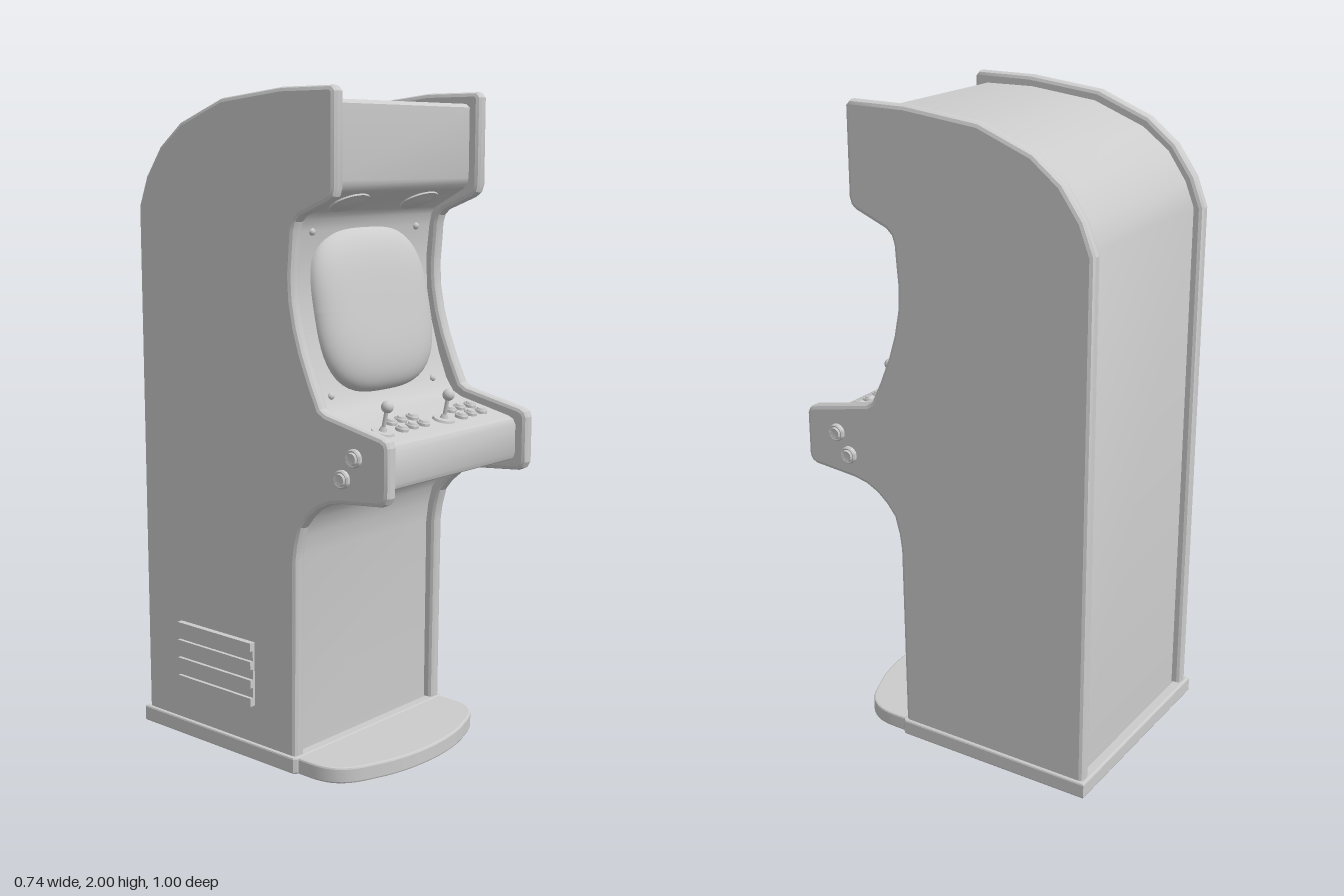
import * as THREE from 'three';
import { toCreasedNormals } from 'three/addons/utils/BufferGeometryUtils.js';

const material = new THREE.MeshStandardMaterial({ color: 0xcccccc });
const thin = new THREE.MeshStandardMaterial({ color: 0xcccccc, side: THREE.DoubleSide });

function add(parent, name, geometry, x = 0, y = 0, z = 0, rx = 0, rz = 0, mat = material) {
  const mesh = new THREE.Mesh(geometry, mat);
  mesh.name = name;
  mesh.position.set(x, y, z);
  mesh.rotation.set(rx, 0, rz);
  parent.add(mesh);
  return mesh;
}

const toShape = (points) => new THREE.Shape(points.map(([a, b]) => new THREE.Vector2(a, b)));

// Extrusion whose bevel stays inside the outline and the given depth
function bevelled(shape, depth, bevel, curveSegments = 12) {
  const geometry = new THREE.ExtrudeGeometry(shape, {
    depth: depth - 2 * bevel, bevelSize: bevel, bevelThickness: bevel,
    bevelOffset: -bevel, bevelSegments: 2, curveSegments,
  });
  geometry.translate(0, 0, bevel);
  return toCreasedNormals(geometry, 0.36);
}

// Side outline as [z, y], from the front foot up and over to the back
const sideOutline = [
  [-0.49, 0], [0.155, 0], [0.16, 0.65], [0.167, 0.7], [0.182, 0.755], [0.21, 0.79], [0.245, 0.82],
  [0.285, 0.84], [0.33, 0.85], [0.475, 0.863], [0.494, 0.872], [0.503, 0.89], [0.503, 1.03], [0.496, 1.047],
  [0.478, 1.057], [0.275, 1.1], [0.255, 1.112], [0.22, 1.185], [0.187, 1.265], [0.165, 1.335],
  [0.15, 1.41], [0.146, 1.48], [0.152, 1.55], [0.156, 1.605], [0.164, 1.63], [0.182, 1.647], [0.285, 1.688],
  [0.303, 1.702], [0.31, 1.725], [0.31, 1.985], [0.297, 2], [0.11, 2], [-0.13, 1.975],
  [-0.3, 1.91], [-0.39, 1.84], [-0.455, 1.75], [-0.49, 1.66],
];

// Skin between the sides as [z, y], from the back foot over the top and down the front
const skinProfile = [
  [-0.46, 0], [-0.46, 1.66], [-0.43, 1.735], [-0.37, 1.82], [-0.285, 1.882], [-0.12, 1.944], [0.1, 1.968],
  [0.262, 1.966], [0.275, 1.955], [0.275, 1.745], [0.27, 1.727], [0.255, 1.712], [0.15, 1.656], [0.134, 1.635],
  [0.126, 1.6], [0.115, 1.5], [0.12, 1.4], [0.14, 1.3], [0.17, 1.2], [0.2, 1.125], [0.228, 1.085],
  [0.26, 1.07], [0.44, 1.03], [0.457, 1.022], [0.466, 1.005], [0.466, 0.915], [0.46, 0.9], [0.445, 0.893],
  [0.33, 0.882], [0.27, 0.868], [0.22, 0.842], [0.18, 0.805], [0.15, 0.765], [0.135, 0.71], [0.127, 0.65],
  [0.125, 0],
];

function skinGeometry() {
  const geometry = new THREE.PlaneGeometry(0.64, 1, 1, skinProfile.length - 1);
  const position = geometry.attributes.position;
  for (let i = 0; i < position.count; i++) {
    const [z, y] = skinProfile[Math.floor(i / 2)];
    position.setY(i, y);
    position.setZ(i, z);
  }
  return toCreasedNormals(geometry, 0.6);
}

// Bulging tube face: a dome over a squarish rounded outline
function screenGeometry() {
  const geometry = new THREE.SphereGeometry(1, 64, 20, 0, Math.PI * 2, 0, Math.PI / 2);
  geometry.rotateX(Math.PI / 2);
  const position = geometry.attributes.position;
  for (let i = 0; i < position.count; i++) {
    const x = position.getX(i), y = position.getY(i);
    const r = Math.min(1, Math.hypot(x, y));
    const c = r ? Math.abs(x) / r : 1, s = r ? Math.abs(y) / r : 0;
    const k = (c ** 3 + s ** 3) ** (-1 / 3);
    position.setXYZ(i, 0.255 * k * x, 0.248 * k * y, 0.065 * Math.sqrt(1 - r ** 4));
  }
  geometry.computeVertexNormals();
  return geometry;
}

// Low rounded push button, standing on y = 0
function buttonGeometry(radius, height) {
  const profile = [[radius, 0], [radius, height * 0.5], [radius * 0.85, height * 0.7],
    [radius * 0.7, height * 0.62], [radius * 0.6, height * 0.95], [0, height]];
  return toCreasedNormals(new THREE.LatheGeometry(profile.map(([r, y]) => new THREE.Vector2(r, y)), 24), 0.6);
}

export function createModel() {
  const cabinet = new THREE.Group();
  cabinet.name = 'arcadeCabinet';

  // Side panels and the skin spanning them
  const side = bevelled(toShape(sideOutline), 0.042, 0.013);
  side.rotateY(-Math.PI / 2);
  side.scale(1, 1, 1);
  for (const [name, x] of [['leftSide', 0.35], ['rightSide', -0.308]]) {
    const panel = side.clone();
    // Shape x runs towards +z after the turn; thickness runs towards -x
    add(cabinet, name, panel, x);
  }
  add(cabinet, 'bodySkin', skinGeometry(), 0, 0, 0, 0, 0, thin);

  // Open plinth frame
  const frame = toShape([[-0.36, -0.155], [-0.35, -0.165], [0.35, -0.165], [0.36, -0.155], [0.36, 0.5], [-0.36, 0.5]]);
  frame.holes.push(toShape([[-0.318, -0.125], [-0.318, 0.46], [0.318, 0.46], [0.318, -0.125]]));
  add(cabinet, 'plinth', bevelled(frame, 0.052, 0.006), 0, 0, 0, -Math.PI / 2);

  // Rounded foot platform in front
  const foot = new THREE.Shape();
  foot.moveTo(0.347, -0.125);
  foot.lineTo(-0.347, -0.125);
  foot.lineTo(-0.347, -0.21);
  foot.bezierCurveTo(-0.347, -0.3, -0.3, -0.335, -0.22, -0.36);
  foot.bezierCurveTo(-0.1, -0.413, 0.1, -0.413, 0.22, -0.36);
  foot.bezierCurveTo(0.3, -0.335, 0.347, -0.3, 0.347, -0.21);
  add(cabinet, 'footPlatform', bevelled(foot, 0.05, 0.006), 0, 0, 0, -Math.PI / 2);

  // Screen with bezel bolts
  add(cabinet, 'screen', screenGeometry(), 0, 1.365, 0.15, -0.2);
  const bolt = new THREE.SphereGeometry(0.011, 12, 8);
  for (const x of [-0.238, 0.238]) {
    add(cabinet, 'bezelBolt', bolt, x, 1.598, 0.126);
    add(cabinet, 'bezelBolt', bolt, x, 1.13, 0.198);
  }

  // Speakers under the header
  for (const x of [-0.16, 0.16]) {
    const speaker = add(cabinet, 'speaker', buttonGeometry(0.07, 0.01), x, 1.682, 0.2, 2.65);
    speaker.scale.z = 0.75;
  }

  // Two sets of controls on the sloping panel
  const slope = 0.22;
  const panelY = (z) => 1.07 - 0.222 * (z - 0.26);
  const button = buttonGeometry(0.02, 0.016);
  const layout = [[0.09, 0.337], [0.142, 0.332], [0.195, 0.332], [0.078, 0.388], [0.132, 0.382], [0.184, 0.382]];
  for (const x of [-0.225, 0.058]) {
    const stick = new THREE.Group();
    stick.name = 'joystick';
    stick.position.set(x, panelY(0.381), 0.381);
    stick.rotation.x = slope;
    add(stick, 'joystickPlate', new THREE.CylinderGeometry(0.032, 0.035, 0.008, 28), 0, 0.003);
    add(stick, 'joystickCollar', new THREE.CylinderGeometry(0.008, 0.013, 0.014, 16), 0, 0.012);
    add(stick, 'joystickShaft', new THREE.CylinderGeometry(0.006, 0.006, 0.07, 12), 0, 0.038);
    add(stick, 'joystickBall', new THREE.SphereGeometry(0.018, 20, 14), 0, 0.079);
    cabinet.add(stick);
    for (const [dx, z] of layout) add(cabinet, 'playButton', button, x + dx, panelY(z), z, slope);
  }

  // Buttons on both flanks of the control panel
  const flankButton = buttonGeometry(0.027, 0.02);
  for (const s of [-1, 1]) {
    for (const [z, y] of [[0.385, 0.99], [0.342, 0.925]]) {
      add(cabinet, 'sideButton', flankButton, s * 0.349, y, z, 0, -s * Math.PI / 2);
    }
  }

  // Vent on the right side: outer slats and an inner frame
  const vent = new THREE.Group();
  vent.name = 'vent';
  add(vent, 'ventPlate', new THREE.BoxGeometry(0.012, 0.2, 0.32), -0.352, 0.272, -0.17);
  for (let i = 0; i < 4; i++) {
    add(vent, 'ventSlat', new THREE.BoxGeometry(0.022, 0.026, 0.32), -0.358, 0.185 + i * 0.058, -0.17);
  }
  for (const y of [0.165, 0.38]) {
    add(vent, 'ventInnerRail', new THREE.BoxGeometry(0.03, 0.015, 0.35), -0.295, y, -0.17);
  }
  for (const z of [-0.338, -0.002]) {
    add(vent, 'ventInnerPost', new THREE.BoxGeometry(0.03, 0.23, 0.015), -0.295, 0.272, z);
  }
  cabinet.add(vent);

  return cabinet;
}
